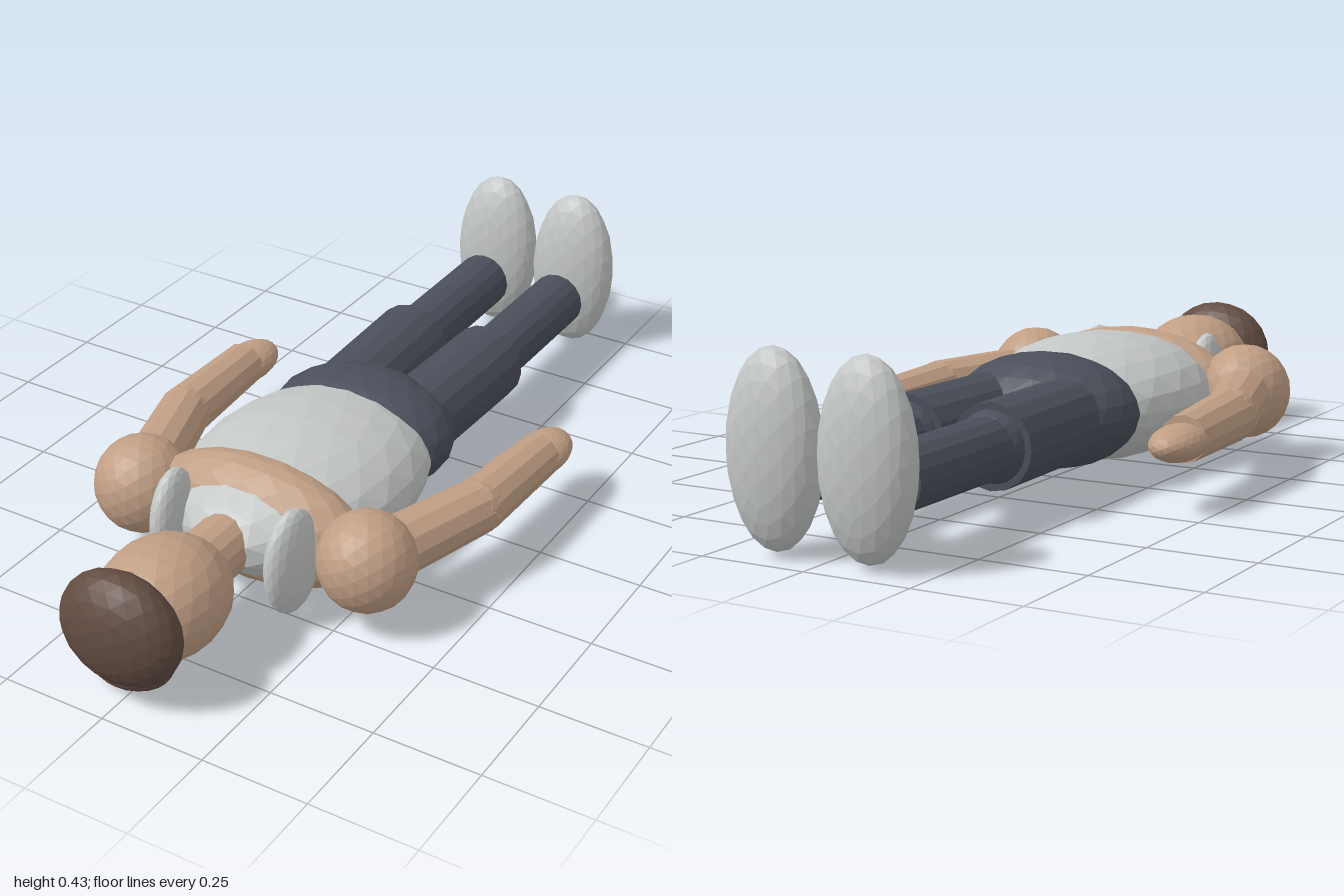
import * as THREE from 'three';

const material = (name, color) => {
  const m = new THREE.MeshStandardMaterial({ color, flatShading: true });
  m.name = name;
  return m;
};

export function createModel() {
  const group = new THREE.Group();
  group.name = 'lyingFigure';
  const skin = material('skin', 0xc09e84);
  const cloth = material('paleCloth', 0xc3c7c5);
  const trousers = material('darkTrousers', 0x4a4f5a);
  const hair = material('hair', 0x624c42);

  const add = (name, geometry, mat) => {
    const mesh = new THREE.Mesh(geometry, mat);
    mesh.name = name;
    group.add(mesh);
    return mesh;
  };

  // Faceted ellipsoid with given centre and radii
  const ball = (name, mat, centre, radii, detail = 3) => {
    const mesh = add(name, new THREE.IcosahedronGeometry(1, detail), mat);
    mesh.position.set(...centre);
    mesh.scale.set(...radii);
    return mesh;
  };

  // Tapered limb running between two points
  const limb = (name, mat, from, to, r0, r1, sides = 16) => {
    const a = new THREE.Vector3(...from), b = new THREE.Vector3(...to);
    const dir = b.clone().sub(a);
    const mesh = add(name, new THREE.CylinderGeometry(r1, r0, dir.length(), sides), mat);
    mesh.position.copy(a).add(b).multiplyScalar(0.5);
    mesh.quaternion.setFromUnitVectors(new THREE.Vector3(0, 1, 0), dir.normalize());
    return mesh;
  };

  // Head, hair and neck
  ball('head', skin, [0, 0.167, 0.77], [0.14, 0.13, 0.165]);
  ball('hairCap', hair, [0, 0.181, 0.917], [0.147, 0.133, 0.081]);
  const bun = ball('hairBun', hair, [-0.024, 0.046, 0.86], [0.098, 0.043, 0.068]);
  bun.rotation.x = 0.15;
  limb('neck', skin, [0, 0.17, 0.5], [0, 0.17, 0.67], 0.07, 0.07);

  // Torso
  ball('shirt', cloth, [0, 0.168, 0.22], [0.265, 0.152, 0.36]);
  ball('chestBand', skin, [0, 0.16, 0.408], [0.28, 0.152, 0.107]);
  ball('pelvis', trousers, [0, 0.17, -0.035], [0.232, 0.137, 0.175]);

  for (const s of [1, -1]) {
    const side = s > 0 ? 'left' : 'right';

    // Shoulder and collar pad
    const pad = ball(side + 'CollarPad', cloth, [s * 0.155, 0.162, 0.515], [0.04, 0.13, 0.086]);
    pad.rotation.y = s * -0.1;
    ball(side + 'Shoulder', skin, [s * 0.297, 0.168, 0.437], [0.112, 0.116, 0.112]);

    // Arm
    limb(side + 'UpperArm', skin, [s * 0.305, 0.168, 0.42], [s * 0.398, 0.168, 0.13], 0.07, 0.064, 12);
    ball(side + 'Elbow', skin, [s * 0.398, 0.168, 0.13], [0.064, 0.064, 0.064], 2);
    limb(side + 'Forearm', skin, [s * 0.398, 0.167, 0.13], [s * 0.413, 0.16, -0.15], 0.064, 0.055, 12);
    ball(side + 'Hand', skin, [s * 0.413, 0.156, -0.17], [0.06, 0.042, 0.098]);

    // Leg
    limb(side + 'Thigh', trousers, [s * 0.095, 0.168, -0.06], [s * 0.108, 0.168, -0.462], 0.098, 0.098);
    ball(side + 'Knee', trousers, [s * 0.108, 0.168, -0.44], [0.085, 0.085, 0.085]);
    limb(side + 'Shin', trousers, [s * 0.108, 0.168, -0.44], [s * 0.11, 0.168, -0.85], 0.071, 0.071);

    // Foot
    ball(side + 'Foot', cloth, [s * 0.112, 0.225, -0.933], [0.112, 0.211, 0.067]);
  }
  return group;
}
